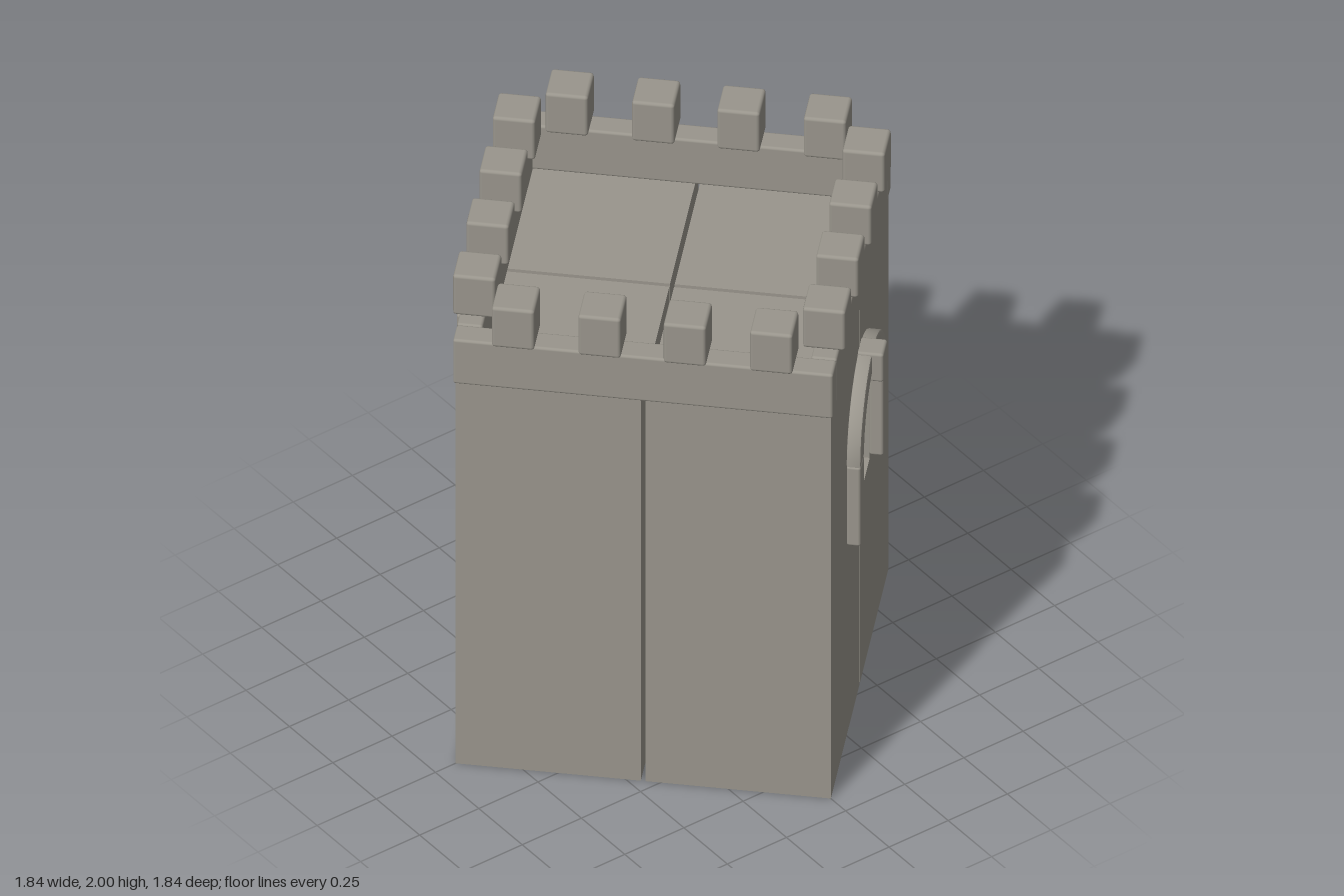
import * as THREE from 'three';
import { toCreasedNormals } from 'three/addons/utils/BufferGeometryUtils.js';
import { RoundedBoxGeometry } from 'three/addons/geometries/RoundedBoxGeometry.js';

const HALF = 0.647;        // half width of the tower
const GAP = 0.008;         // half of the seam between the quarter blocks
const WALL_TOP = 1.64;
const SPRING = 1.16;       // height where the arches start
const OPENING = 0.226;     // half width of the archway
const SILL = 0.8;

export function createModel() {
  const stone = new THREE.MeshStandardMaterial({ color: 0x99958c });
  stone.name = 'greyStone';

  const model = new THREE.Group();
  model.name = 'castleTower';
  const tower = new THREE.Group();
  tower.name = 'tower';
  tower.rotation.y = -Math.PI / 4;
  model.add(tower);

  const add = (parent, name, geometry, x = 0, y = 0, z = 0) => {
    const mesh = new THREE.Mesh(geometry, stone);
    mesh.name = name;
    mesh.position.set(x, y, z);
    parent.add(mesh);
    return mesh;
  };
  const block = (w, h, d, r = 0.01) => new RoundedBoxGeometry(w, h, d, 2, r);

  // Quarter blocks, each with half of the arched passage cut out
  const quarter = (side) => {
    const shape = new THREE.Shape();
    shape.moveTo(side * GAP, 0);
    shape.lineTo(side * HALF, 0);
    shape.lineTo(side * HALF, WALL_TOP);
    shape.lineTo(side * GAP, WALL_TOP);
    const steps = 14;
    const start = Math.acos(GAP / OPENING);
    for (let i = 0; i <= steps; i++) {
      const a = start * (1 - i / steps);
      shape.lineTo(side * OPENING * Math.cos(a), SPRING + OPENING * Math.sin(a));
    }
    shape.lineTo(side * OPENING, SILL);
    shape.lineTo(side * GAP, SILL);
    shape.closePath();
    const geometry = new THREE.ExtrudeGeometry(shape, { depth: HALF - GAP, bevelEnabled: false });
    return toCreasedNormals(geometry, 0.5);
  };
  for (const side of [-1, 1]) {
    const geometry = quarter(side);
    add(tower, 'frontWallBlock', geometry, 0, 0, GAP);
    add(tower, 'backWallBlock', geometry, 0, 0, -HALF);
  }

  // Parapet: two full-length beams with two shorter ones between them
  const outer = 0.655, thick = 0.089, parapetH = 0.19;
  const mid = outer - thick / 2;
  const parapetY = WALL_TOP + parapetH / 2;
  for (const side of [-1, 1]) {
    add(tower, 'longParapet', block(thick, parapetH, outer * 2), side * mid, parapetY, 0);
    add(tower, 'shortParapet', block((outer - thick) * 2, parapetH, thick), 0, parapetY, side * mid);
  }

  // Battlements: four merlons on each side
  const merlon = block(0.147, 0.17, 0.147, 0.012);
  for (let s = 0; s < 4; s++) {
    const row = new THREE.Group();
    row.name = 'battlementRow';
    row.rotation.y = s * Math.PI / 2;
    tower.add(row);
    for (const x of [-0.445, -0.147, 0.147, 0.445]) {
      add(row, 'merlon', merlon, x, 1.915, 0.603);
    }
  }

  // Archway surround: jambs, curved arch and keystone on both ends of the passage
  const bevel = 0.007;
  const inR = 0.215, outR = 0.296;
  const ring = new THREE.Shape();
  ring.absarc(0, 0, outR - bevel, 0.025, Math.PI - 0.025, false);
  ring.absarc(0, 0, inR + bevel, Math.PI - 0.03, 0.03, true);
  ring.closePath();
  const arch = toCreasedNormals(new THREE.ExtrudeGeometry(ring, {
    depth: 0.05 - 2 * bevel, curveSegments: 24,
    bevelEnabled: true, bevelSize: bevel, bevelThickness: bevel, bevelSegments: 2,
  }), 0.5);
  const jambH = SPRING - 0.82;
  const jamb = block(outR - inR, jambH, 0.05);
  const keystone = block(0.093, 0.12, 0.092);
  for (const turn of [0, Math.PI]) {
    const frame = new THREE.Group();
    frame.name = 'archwaySurround';
    frame.rotation.y = turn;
    tower.add(frame);
    add(frame, 'arch', arch, 0, SPRING, 0.646 + bevel);
    for (const side of [-1, 1]) {
      add(frame, 'jamb', jamb, side * (inR + outR) / 2, SPRING - jambH / 2, 0.671);
    }
    add(frame, 'keystone', keystone, 0, 1.402, 0.69);
  }

  return model;
}
